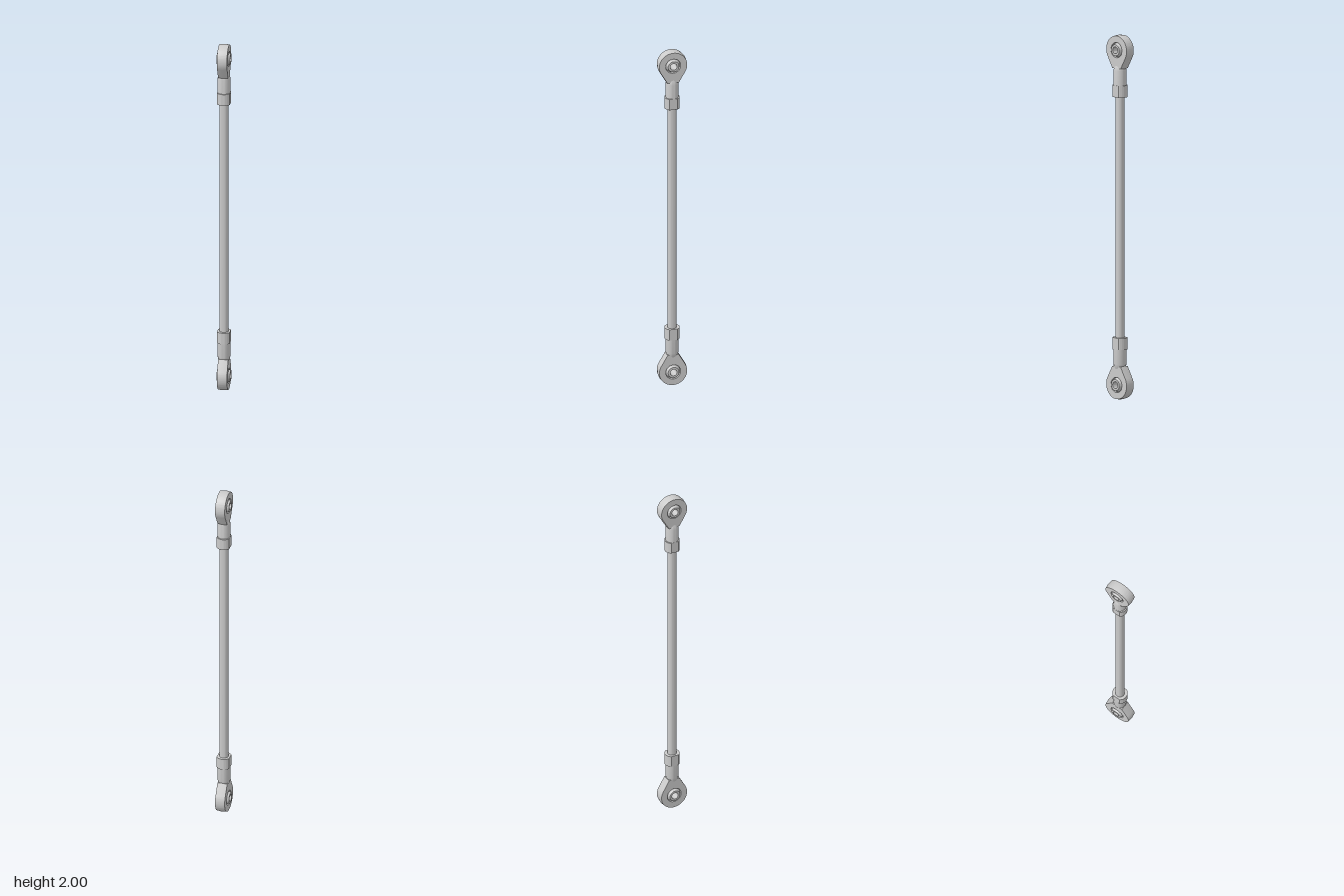
import * as THREE from 'three';
import { toCreasedNormals } from 'three/addons/utils/BufferGeometryUtils.js';

const material = new THREE.MeshStandardMaterial({ color: 0xcccccc });

function part(name, geometry) {
  const mesh = new THREE.Mesh(toCreasedNormals(geometry, 0.5), material);
  mesh.name = name;
  return mesh;
}

const lathe = (points) =>
  new THREE.LatheGeometry(points.map(([r, y]) => new THREE.Vector2(r, y)), 32);

const R = 0.081;         // eye radius, also the height of its centre
const NECK_Y = 0.185;    // where the eye meets the shank
const NECK_W = 0.0335;
const SHANK_R = 0.035;

// Teardrop eye with a bore and a crowned rim
function eyeGeometry() {
  const dy = NECK_Y - R;
  const a = Math.atan2(dy, NECK_W) - Math.acos(R / Math.hypot(NECK_W, dy));
  const shape = new THREE.Shape();
  shape.moveTo(NECK_W, NECK_Y);
  shape.lineTo(R * Math.cos(a), R + R * Math.sin(a));
  shape.absarc(0, R, R, a, Math.PI - a, true);
  shape.lineTo(-NECK_W, NECK_Y);
  const bore = new THREE.Path();
  bore.absarc(0, R, 0.039, 0, Math.PI * 2, false);
  shape.holes.push(bore);
  const geometry = new THREE.ExtrudeGeometry(shape, {
    depth: 0.001, curveSegments: 32, bevelEnabled: true, bevelSegments: 1,
    bevelThickness: 0.027, bevelSize: 0.003, bevelOffset: -0.003,
  });
  return geometry.translate(0, 0, -0.0005).rotateY(Math.PI / 2);
}

// Round collar with two wrench flats, flush with the shank on the x sides
function collarGeometry() {
  const radius = 0.0415;
  const a = Math.acos(SHANK_R / radius);
  const shape = new THREE.Shape();
  shape.absarc(0, 0, radius, a, Math.PI - a, false);
  shape.absarc(0, 0, radius, Math.PI + a, -a, false);
  const geometry = new THREE.ExtrudeGeometry(shape, {
    depth: 0.065, curveSegments: 16, bevelEnabled: false,
  });
  return geometry.rotateX(-Math.PI / 2).translate(0, 0.275, 0);
}

// One rod end, eye at the bottom, shank pointing up
function rodEnd(name) {
  const group = new THREE.Group();
  group.name = name;
  group.add(part('eye', eyeGeometry()));

  // Swivel ball with a through hole
  const ball = lathe([
    [0.019, -0.037], [0.031, -0.037], [0.0335, -0.027], [0.038, -0.02], [0.042, -0.008],
    [0.042, 0.008], [0.038, 0.02], [0.0335, 0.027], [0.031, 0.037], [0.019, 0.037],
    [0.019, -0.037],
  ]);
  ball.rotateZ(Math.PI / 2).translate(0, R, 0);
  group.add(part('swivelBall', ball));

  // Round shank, tapering into the eye
  group.add(part('shank', lathe([
    [0, 0.14], [0.02, 0.14], [0.026, 0.164], [0.032, 0.178], [SHANK_R, 0.195],
    [SHANK_R, 0.34], [0, 0.34],
  ])));

  group.add(part('wrenchCollar', collarGeometry()));
  return group;
}

export function createModel() {
  const model = new THREE.Group();
  model.name = 'linkRod';

  const rod = part('rod', new THREE.CylinderGeometry(0.0255, 0.0255, 1.36, 32));
  rod.position.y = 1;
  model.add(rod);

  const lower = rodEnd('lowerRodEnd');
  const upper = rodEnd('upperRodEnd');
  upper.rotation.x = Math.PI;
  upper.position.y = 2;
  model.add(lower, upper);
  return model;
}
